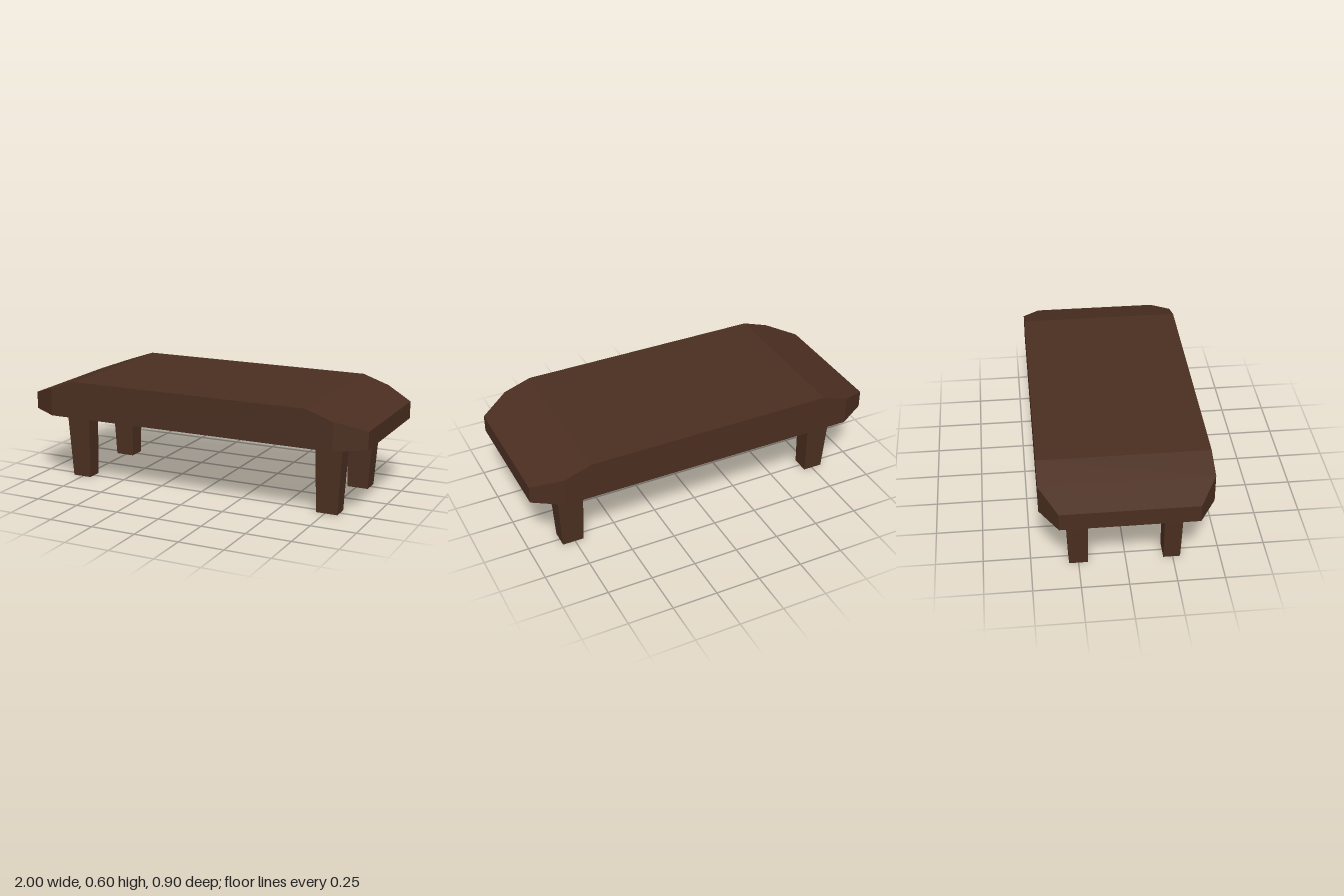
import * as THREE from 'three';

const wood = new THREE.MeshStandardMaterial({ color: 0x4a2e20, flatShading: true });

// Moves every corner of a box by a rule, then refreshes its normals.
function reshape(geometry, rule) {
  const pos = geometry.attributes.position;
  const v = new THREE.Vector3();
  for (let i = 0; i < pos.count; i++) {
    rule(v.fromBufferAttribute(pos, i));
    pos.setXYZ(i, v.x, v.y, v.z);
  }
  const flat = geometry.toNonIndexed();
  flat.computeVertexNormals();
  return flat;
}

// Slab with clipped corners and ends that slope down.
function makeTop() {
  // Stations along x: [x, half depth, underside, upper side]
  const stations = [
    [-1, 0.355, 0.396, 0.492], [-0.84, 0.45, 0.392, 0.549], [-0.69, 0.45, 0.392, 0.6],
    [0.69, 0.45, 0.392, 0.6], [0.84, 0.45, 0.392, 0.549], [1, 0.355, 0.396, 0.492],
  ];
  const geometry = reshape(new THREE.BoxGeometry(5, 2, 2, 5, 1, 1), (v) => {
    const [x, depth, low, high] = stations[Math.round(v.x + 2.5)];
    v.set(x, v.y > 0 ? high : low, v.z * depth);
  });
  return new THREE.Mesh(geometry, wood);
}

// Leg that tapers to the floor, mostly on its outer faces.
function makeLeg(sx, sz) {
  const outerX = sx > 0 ? [0.82, 0.845] : [0.81, 0.835];
  const outerZ = sz > 0 ? [0.29, 0.3] : [0.3, 0.315];
  const geometry = reshape(new THREE.BoxGeometry(2, 2, 2), (v) => {
    const k = v.y > 0 ? 1 : 0;
    const x = v.x * sx > 0 ? outerX[k] : [0.7, 0.692][k];
    const z = v.z * sz > 0 ? outerZ[k] : 0.2;
    v.set(sx * x, k * 0.395, sz * z);
  });
  return new THREE.Mesh(geometry, wood);
}

export function createModel() {
  const table = new THREE.Group();
  table.name = 'table';

  const top = makeTop();
  top.name = 'tableTop';
  table.add(top);

  for (const sx of [-1, 1]) {
    for (const sz of [-1, 1]) {
      const leg = makeLeg(sx, sz);
      leg.name = (sz > 0 ? 'front' : 'back') + (sx > 0 ? 'Left' : 'Right') + 'Leg';
      table.add(leg);
    }
  }
  return table;
}
